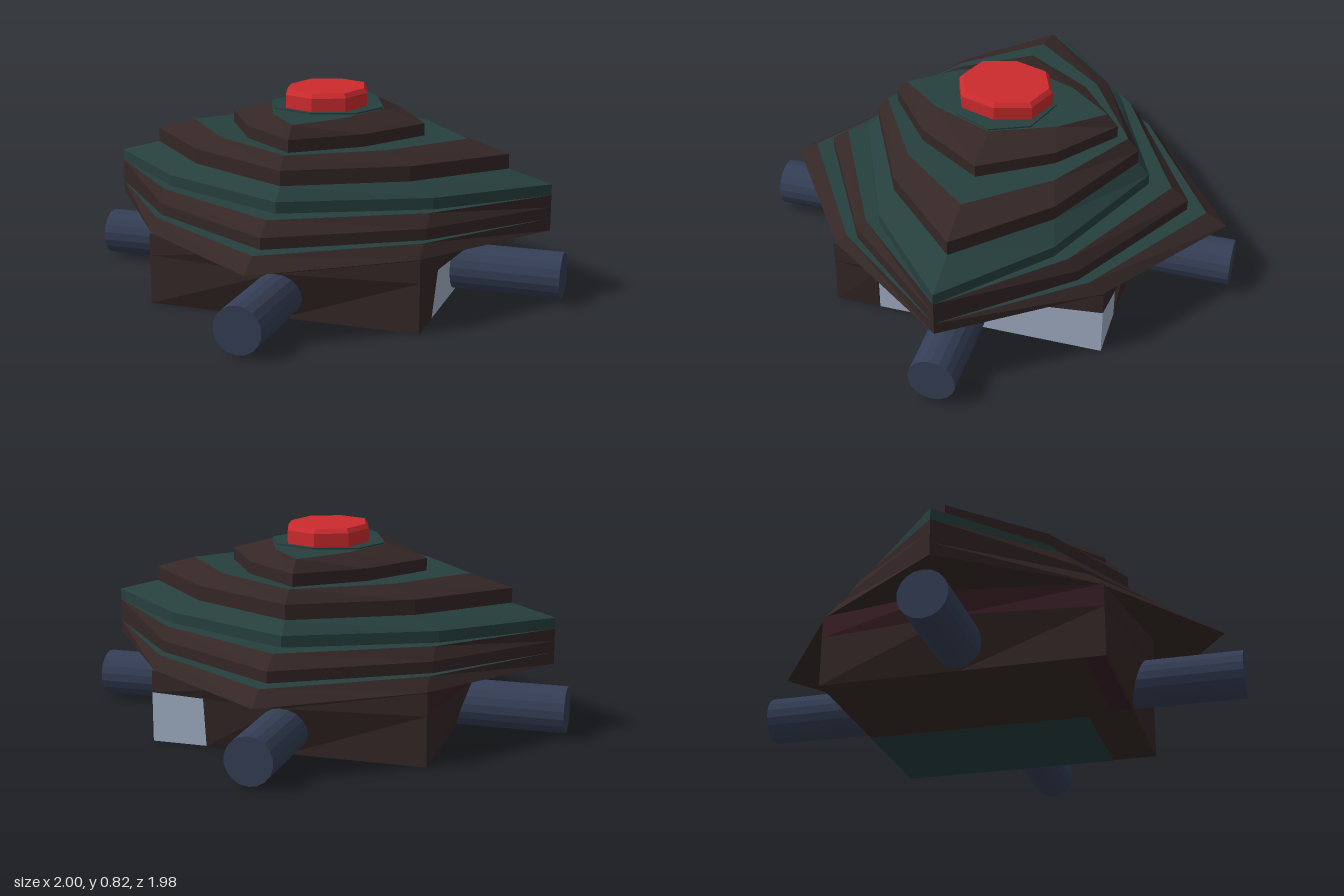
import * as THREE from 'three';

const flat = (name, color) => {
  const m = new THREE.MeshStandardMaterial({ color, flatShading: true });
  m.name = name;
  return m;
};

export function createModel() {
  const brown = flat('darkBrown', 0x342726);
  const teal = flat('darkTeal', 0x263f3d);
  const navy = flat('navy', 0x343e55);
  const red = flat('red', 0xcc2b2e);
  const grey = flat('blueGrey', 0xa0aec4);
  const maroon = flat('maroon', 0x3a2027);

  const model = new THREE.Group();
  const hull = new THREE.Group();
  hull.name = 'hull';
  hull.position.z = -0.015;
  model.add(hull);

  const addMesh = (parent, name, geometry, material) => {
    const mesh = new THREE.Mesh(geometry, material);
    mesh.name = name;
    parent.add(mesh);
    return mesh;
  };

  const fromTriangles = (points) => {
    const g = new THREE.BufferGeometry();
    g.setAttribute('position', new THREE.Float32BufferAttribute(points.flat(), 3));
    g.computeVertexNormals();
    return g;
  };

  // Eight-sided ring: four tips on the axes and four corners between them
  const ring = ([rx, rz, y], kx = 0.585, kz = 0.585) => [
    [rx, y, 0], [rx * kx, y, rz * kz], [0, y, rz], [-rx * kx, y, rz * kz],
    [-rx, y, 0], [-rx * kx, y, -rz * kz], [0, y, -rz], [rx * kx, y, -rz * kz],
  ];
  const band = (a, b) => {
    const pts = [];
    for (let i = 0; i < 8; i++) {
      const j = (i + 1) % 8;
      pts.push(a[i], b[i], b[j], a[i], b[j], a[j]);
    }
    return fromTriangles(pts);
  };

  // Stepped cap: half width x, half width z, height, colour of the band leading here
  const steps = [
    [0.001, 0.001, 0.29],
    [0.94, 0.935, 0.29, brown],
    [0.94, 0.85, 0.34, brown],
    [0.94, 0.77, 0.34, teal],
    [0.94, 0.77, 0.385, brown],
    [0.94, 0.70, 0.435, brown],
    [0.94, 0.605, 0.435, teal],
    [0.94, 0.605, 0.48, teal],
    [0.765, 0.555, 0.53, teal],
    [0.765, 0.555, 0.59, brown],
    [0.595, 0.51, 0.64, brown],
    [0.415, 0.465, 0.64, teal],
    [0.415, 0.465, 0.69, brown],
    [0.245, 0.42, 0.74, brown],
    [0.001, 0.001, 0.74, teal],
  ];
  const cap = new THREE.Group();
  cap.name = 'steppedCap';
  hull.add(cap);
  for (let i = 1; i < steps.length; i++) {
    addMesh(cap, 'capBand' + i, band(ring(steps[i - 1]), ring(steps[i])), steps[i][3]);
  }

  // Collar plate and bevelled push button
  const stack = (name, rows, material, k) => {
    const g = new THREE.Group();
    g.name = name;
    hull.add(g);
    for (let i = 1; i < rows.length; i++) {
      addMesh(g, name + 'Band' + i, band(ring(rows[i - 1], k, k), ring(rows[i], k, k)), material);
    }
  };
  stack('buttonCollar', [[0.24, 0.212, 0.74], [0.24, 0.212, 0.746], [0.001, 0.001, 0.746]], teal, 0.72);
  stack('button', [[0.172, 0.195, 0.74], [0.172, 0.195, 0.8], [0.158, 0.18, 0.818],
    [0.001, 0.001, 0.818]], red, 0.74);

  // Square base whose sides bulge outwards at the top middle
  const H = 0.555, TOP = 0.29, CUT = 0.2;
  const bulge = (s, y) => H + 0.095 * (1 - Math.abs(s) / H) * (y / TOP);
  const patch = (s0, s1, lower, upper) => {
    const cols = s0 < 0 && s1 > 0 ? [s0, 0, s1] : [s0, s1];
    const pts = [];
    for (let i = 1; i < cols.length; i++) {
      const [a, b, c, d] = [lower(cols[i - 1]), lower(cols[i]), upper(cols[i]), upper(cols[i - 1])];
      pts.push(a, b, c, a, c, d);
    }
    return fromTriangles(pts);
  };
  const curved = (y) => (s) => [s, y, bulge(s, y)];
  const upright = (y) => (s) => [s, y, H];

  // Each side: turn, colour of the upper strip, and the span of the cut-in panel
  const sides = [
    ['front', 0, brown, null],
    ['left', Math.PI / 2, brown, [-0.37, H]],
    ['back', Math.PI, brown, [-H, -0.33]],
    ['right', -Math.PI / 2, maroon, null],
  ];
  for (const [name, turn, upperMat, cut] of sides) {
    const side = new THREE.Group();
    side.name = name + 'Side';
    side.rotation.y = turn;
    hull.add(side);
    addMesh(side, name + 'UpperStrip', patch(-H, H, curved(CUT), curved(TOP)), upperMat);
    const spans = cut ? [[-H, cut[0]], [cut[1], H]] : [[-H, H]];
    for (const [s0, s1] of spans) {
      if (s1 - s0 > 0.01) addMesh(side, name + 'Wall', patch(s0, s1, curved(0), curved(CUT)), brown);
    }
    if (cut) {
      addMesh(side, name + 'Panel', patch(...cut, upright(0), upright(CUT)), grey);
      addMesh(side, name + 'Ledge', patch(...cut, upright(CUT), curved(CUT)), brown);
      // closes the exposed end of the cut
      const e = Math.abs(cut[0]) < H - 0.01 ? cut[0] : cut[1];
      const cheek = fromTriangles([[e, 0, H], [e, CUT, H], [e, CUT, bulge(e, CUT)]]);
      const cheekMat = brown.clone();
      cheekMat.side = THREE.DoubleSide;
      addMesh(side, name + 'Cheek', cheek, cheekMat);
    }
  }

  // Underside with two inlaid plates
  const plate = (name, x0, x1, z0, z1, y, material) => {
    const g = new THREE.PlaneGeometry(x1 - x0, z1 - z0).rotateX(Math.PI / 2);
    g.translate((x0 + x1) / 2, y, (z0 + z1) / 2);
    addMesh(hull, name, g, material);
  };
  plate('underside', -H, H, -H, H, 0.003, brown);
  plate('undersidePanel', 0.02, H, -H, 0.37, 0, teal);
  plate('undersideStrip', -H, -0.02, 0.47, H, 0, maroon);

  // Four round pipes
  for (let i = 0; i < 4; i++) {
    const arm = new THREE.Group();
    arm.name = 'pipeArm' + (i + 1);
    arm.rotation.y = (i * Math.PI) / 2;
    if (i % 2) arm.position.z = -0.018;
    model.add(arm);
    const g = new THREE.CylinderGeometry(0.095, 0.095, 0.5, 18).rotateX(Math.PI / 2);
    addMesh(arm, 'pipe', g, navy).position.set(0, 0.106, i % 2 ? 0.75 : 0.74);
  }
  return model;
}
